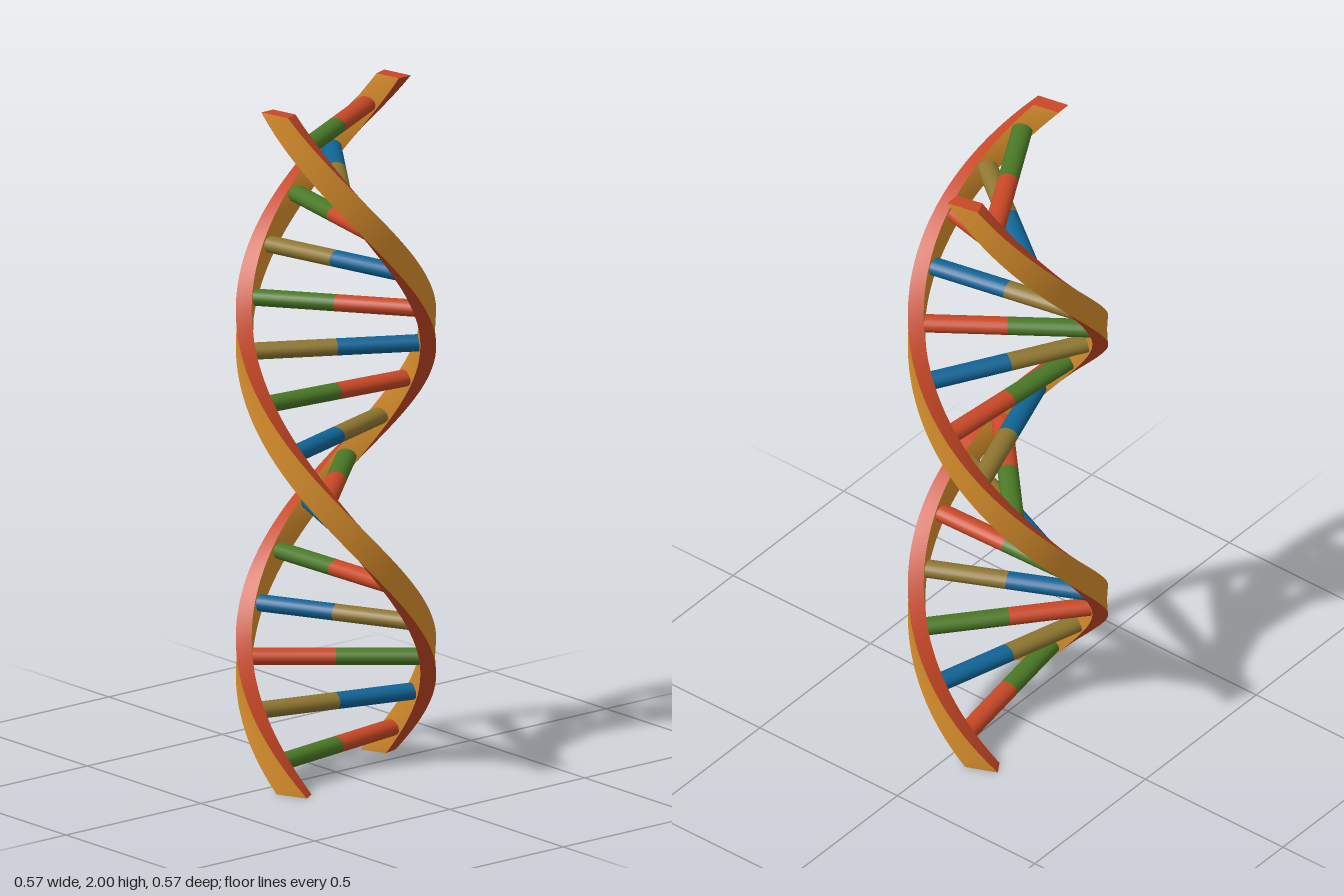
import * as THREE from 'three';

const HEIGHT = 2, OUTER = 0.284, INNER = 0.239, HALF_WIDTH = 0.17; // radii, half band angle
const START = THREE.MathUtils.degToRad(-23.3);
const TURN = THREE.MathUtils.degToRad(185.9); // twist per unit of height
const angleAt = (y) => START + TURN * y;

const mat = (name, color) => new THREE.MeshStandardMaterial({ name, color });

// Four corners of the band's horizontal section, anticlockwise from above
const CORNERS = [[OUTER, 1], [OUTER, -1], [INNER, -1], [INNER, 1]];
function corner(i, y) {
  const [r, side] = CORNERS[i % 4];
  const a = angleAt(y) + side * HALF_WIDTH;
  return [r * Math.cos(a), y, r * Math.sin(a)];
}

function surface(points, index) {
  const g = new THREE.BufferGeometry();
  g.setAttribute('position', new THREE.Float32BufferAttribute(points.flat(), 3));
  g.setIndex(index);
  g.computeVertexNormals();
  return g;
}

// One long face of the band, between corner i and the next one
function bandFace(i, steps = 112) {
  const points = [], index = [];
  for (let k = 0; k <= steps; k++) {
    const y = (HEIGHT * k) / steps;
    points.push(corner(i, y), corner(i + 1, y));
    if (k < steps) {
      const a = 2 * k;
      index.push(a, a + 1, a + 3, a, a + 3, a + 2);
    }
  }
  return surface(points, index);
}

function bandEnd(y, order) {
  return surface([0, 1, 2, 3].map((i) => corner(i, y)), order);
}

export function createModel() {
  const model = new THREE.Group();
  model.name = 'doubleHelix';
  const orange = mat('orange', 0xd88e2c);
  const red = mat('red', 0xc84826);
  const green = mat('green', 0x4a7826);
  const blue = mat('blue', 0x106496);
  const olive = mat('olive', 0x8e7630);

  const add = (parent, name, geometry, material) => {
    const mesh = new THREE.Mesh(geometry, material);
    mesh.name = name;
    parent.add(mesh);
    return mesh;
  };

  // Two twisted bands, half a turn apart
  const parts = [
    ['outerFace', bandFace(0), orange],
    ['lowerEdge', bandFace(1), red],
    ['innerFace', bandFace(2), orange],
    ['upperEdge', bandFace(3), red],
    ['topEnd', bandEnd(HEIGHT, [0, 1, 2, 0, 2, 3]), red],
    ['bottomEnd', bandEnd(0, [0, 2, 1, 0, 3, 2]), red],
  ];
  for (let s = 0; s < 2; s++) {
    const strand = new THREE.Group();
    strand.name = s ? 'secondStrand' : 'firstStrand';
    strand.rotation.y = s * Math.PI;
    for (const [name, geometry, material] of parts) add(strand, name, geometry, material);
    model.add(strand);
  }

  // Rungs: two coloured halves, slightly flattened; letters give the first strand's half
  const length = 0.25;
  const half = new THREE.CylinderGeometry(0.03, 0.03, length, 20)
    .translate(0, length / 2, 0)
    .rotateZ(-Math.PI / 2)
    .scale(1, 0.8, 1);
  const pairs = { r: [red, green], g: [green, red], b: [blue, olive], o: [olive, blue] };
  [...'rbgororbgogogbr'].forEach((key, i) => {
    const y = 0.08 + i * 0.1304;
    const rung = new THREE.Group();
    rung.name = `rung${i + 1}`;
    rung.position.y = y;
    rung.rotation.y = -angleAt(y);
    add(rung, 'firstHalf', half, pairs[key][0]);
    add(rung, 'secondHalf', half, pairs[key][1]).rotation.y = Math.PI;
    model.add(rung);
  });

  return model;
}
